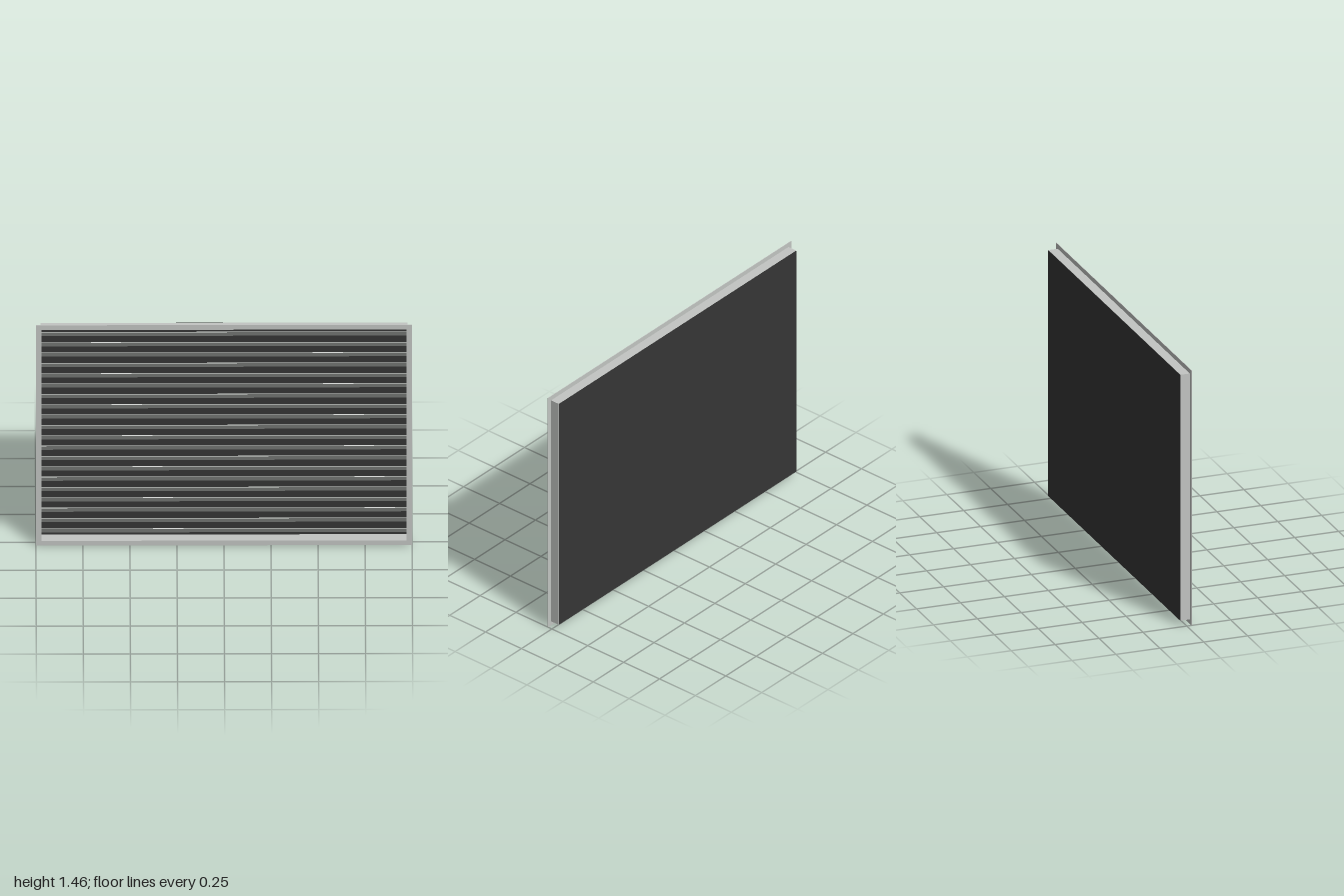
import * as THREE from 'three';

export function createModel() {
  const group = new THREE.Group();
  group.name = 'louvreGrille';
  const metal = new THREE.MeshStandardMaterial({ color: 0xc2c5c2 });
  metal.name = 'light grey metal';
  const dark = new THREE.MeshStandardMaterial({ color: 0x353535 });
  dark.name = 'dark backing';

  const W = 2, H = 1.455, midY = H / 2;
  const boxW = 1.952, boxH = 1.403;   // outer size of the duct walls
  const wall = 0.005;

  // Rectangular ring extruded along z
  const ring = (name, w, h, iw, ih, z0, z1) => {
    const shape = new THREE.Shape([[-w, -h], [w, -h], [w, h], [-w, h]]
      .map(([x, y]) => new THREE.Vector2(x / 2, y / 2)));
    shape.holes.push(new THREE.Path([[-iw, -ih], [-iw, ih], [iw, ih], [iw, -ih]]
      .map(([x, y]) => new THREE.Vector2(x / 2, y / 2))));
    const geo = new THREE.ExtrudeGeometry(shape, { depth: z1 - z0, bevelEnabled: false });
    const mesh = new THREE.Mesh(geo, metal);
    mesh.name = name;
    mesh.position.set(0, midY, z0);
    group.add(mesh);
  };
  const innerW = boxW - 2 * wall, innerH = boxH - 2 * wall;
  ring('frontFlange', W, H, innerW, innerH, 0.026, 0.029);
  ring('ductWalls', boxW, boxH, innerW, innerH, -0.027, 0.026);

  // Dark sheet closing the back
  const back = new THREE.Mesh(new THREE.BoxGeometry(boxW - 0.002, boxH - 0.002, 0.002), dark);
  back.name = 'backPanel';
  back.position.set(0, midY, -0.028);
  group.add(back);

  // Tilted slats, upper edge towards the front
  const slats = new THREE.Group();
  slats.name = 'slats';
  const count = 20, pitch = 0.0683;
  const slatGeo = new THREE.BoxGeometry(innerW, 0.074, 0.003);
  for (let i = 0; i < count; i++) {
    const slat = new THREE.Mesh(slatGeo, metal);
    slat.name = 'slat';
    slat.position.set(0, midY + (i - (count - 1) / 2) * pitch, 0);
    slat.rotation.x = 0.68;
    slats.add(slat);
  }
  group.add(slats);
  return group;
}
